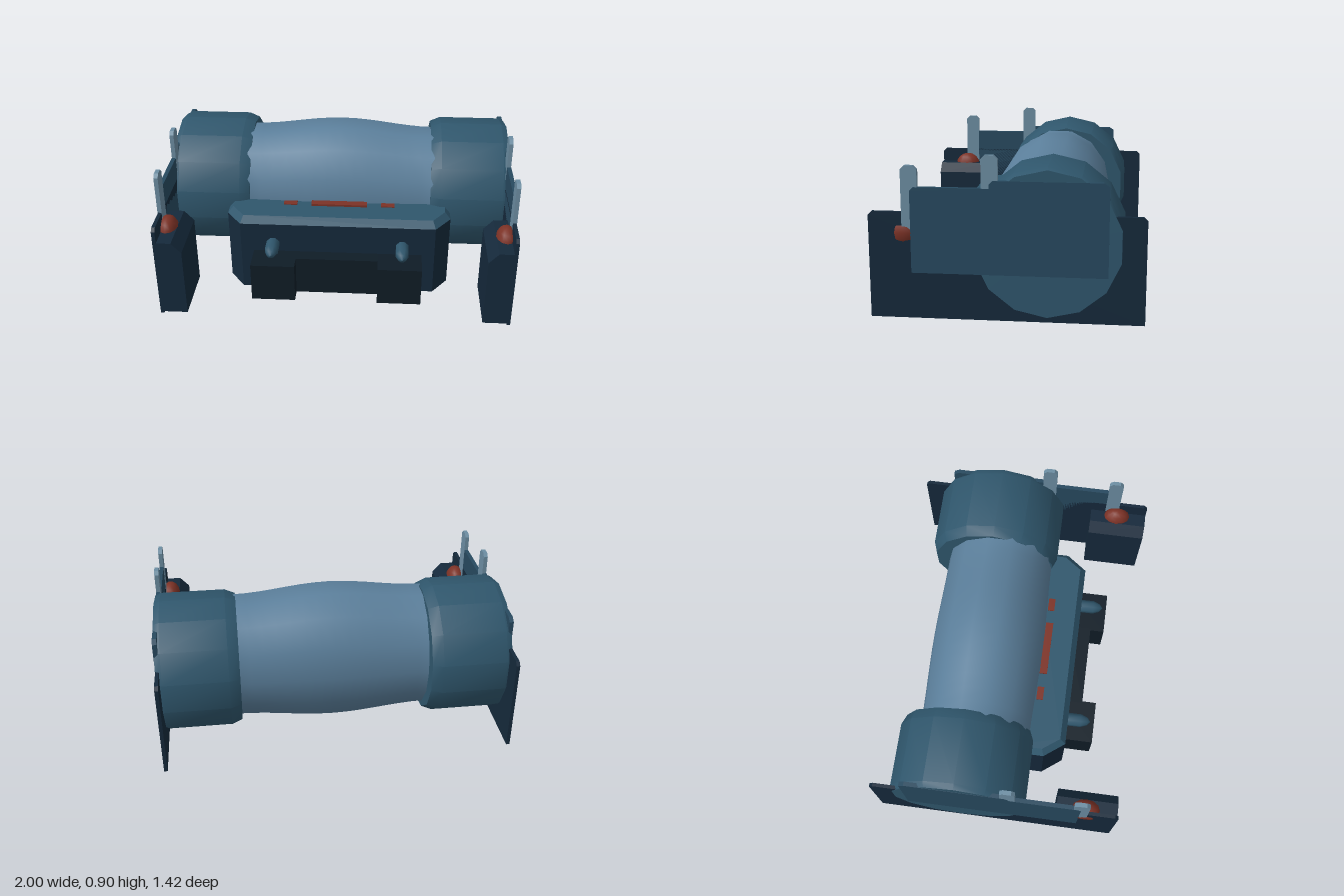
import * as THREE from 'three';
import { toCreasedNormals } from 'three/addons/utils/BufferGeometryUtils.js';
import { ConvexGeometry } from 'three/addons/geometries/ConvexGeometry.js';

const mat = (color) => new THREE.MeshStandardMaterial({ color });
const navy = mat(0x15293b), black = mat(0x0f1c26), teal = mat(0x2f566c);
const panelBlue = mat(0x27495f), steel = mat(0x5b7f9b), pale = mat(0x6c8da2), red = mat(0x7c3226);

export function createModel() {
  const model = new THREE.Group();
  const add = (name, geometry, material) => {
    const mesh = new THREE.Mesh(geometry, material);
    mesh.name = name;
    model.add(mesh);
    return mesh;
  };
  const box = (name, x0, x1, y0, y1, z0, z1, material) => {
    const g = new THREE.BoxGeometry(Math.abs(x1 - x0), y1 - y0, z1 - z0);
    g.translate((x0 + x1) / 2, (y0 + y1) / 2, (z0 + z1) / 2);
    return add(name, g, material);
  };
  const extrude = (points, depth) => new THREE.ExtrudeGeometry(
    new THREE.Shape(points.map(([a, b]) => new THREE.Vector2(a, b))), { depth, bevelEnabled: false });

  // Upright slab with a [z, y] outline, its outer face at |x| = outer
  const slab = (name, side, points, outer, thick, material) => {
    const g = extrude(points, thick);
    g.rotateY(-Math.PI / 2);
    g.translate(side > 0 ? outer : thick - outer, 0, 0);
    return add(name, g, material);
  };
  // Rectangle outline with its two top corners cut
  const cutTop = (z0, z1, y0, y1, c) =>
    [[z0, y0], [z1, y0], [z1, y1 - c], [z1 - c, y1], [z0 + c, y1], [z0, y1 - c]];

  // Bulging central barrel, taller than deep in the middle
  const barrel = new THREE.CylinderGeometry(1, 1, 1.12, 14, 14, true);
  barrel.rotateZ(-Math.PI / 2);
  const p = barrel.attributes.position;
  for (let i = 0; i < p.count; i++) {
    const x = p.getX(i);
    const t = 0.5 + 0.5 * Math.cos(Math.PI * x / 0.56);
    p.setXYZ(i, x, 0.44 + p.getY(i) * (0.37 + 0.05 * t), -0.17 + p.getZ(i) * (0.33 + 0.013 * t));
  }
  barrel.computeVertexNormals();
  add('barrel', toCreasedNormals(barrel, 0.6), steel);

  // End drum, the same turned shape on both sides
  const profile = [[0, 0.54], [0.375, 0.54], [0.4, 0.6], [0.4, 0.965], [0.385, 0.998], [0, 0.998]]
    .map(([r, y]) => new THREE.Vector2(r, y));
  let drum = new THREE.LatheGeometry(profile, 14, Math.PI / 2);
  drum.rotateZ(-Math.PI / 2);
  drum = toCreasedNormals(drum, 0.5);

  for (const side of [1, -1]) {
    const end = add('endDrum', drum, teal);
    end.position.set(0, 0.445, -0.21);
    if (side < 0) end.rotation.y = Math.PI;

    // Thin side walls and the stepped panel on them
    slab('sidePlate', side, cutTop(-0.71, 0.71, 0.035, 0.6, 0.02), 0.996, 0.02, navy);
    slab('sidePanel', side, [
      [-0.52, 0.28], [0.49, 0.28], [0.49, 0.71], [0.47, 0.73], [0.085, 0.73],
      [0.085, 0.75], [0.065, 0.77], [-0.49, 0.77], [-0.52, 0.75],
    ], 1, 0.024, panelBlue);
    slab('frontPost', side, cutTop(0.45, 0.535, 0.5, 0.84, 0.02), 0.999, 0.024, pale);
    slab('rearPost', side, cutTop(0.04, 0.125, 0.5, 0.9, 0.02), 0.999, 0.024, pale);

    // Front corner block with a sloped inner edge
    const block = extrude([[0.84, 0.045], [0.995, 0.045], [0.995, 0.51], [0.895, 0.51], [0.84, 0.45]]
      .map(([x, y]) => [x * side, y]), 0.35);
    block.translate(0, 0, 0.36);
    add('cornerBlock', block, navy);

    // Warning light, cut flat by the side wall
    const light = new THREE.SphereGeometry(1, 12, 8);
    light.scale(0.06, 0.083, 0.085);
    const lp = light.attributes.position;
    for (let i = 0; i < lp.count; i++) lp.setX(i, THREE.MathUtils.clamp(lp.getX(i), -0.06, 0.05));
    if (side < 0) light.rotateY(Math.PI);
    light.translate(side * 0.95, 0.49, 0.527);
    add('warningLight', light, red);

    // Bumper end, headlamp and small marker strip
    box('bumperEnd', side * 0.24, side * 0.495, 0.025, 0.26, 0.3, 0.535, black);
    const lamp = new THREE.LatheGeometry([[0, 0.34], [0.04, 0.34], [0.04, 0.45], [0.025, 0.49], [0, 0.51]]
      .map(([r, y]) => new THREE.Vector2(r, y)), 8, Math.PI / 8);
    lamp.rotateX(Math.PI / 2);
    lamp.translate(side * 0.38, 0.31, 0);
    add('headlamp', toCreasedNormals(lamp, 0.9), teal);
    box('markerStrip', side * 0.25, side * 0.33, 0.47, 0.486, 0.165, 0.205, red);
  }

  // Front console with cut corners and a bevelled lid
  const ring = (y, inset) => [1, -1].flatMap((s) =>
    [[0.66 - inset, 0.05], [0.66 - inset, 0.25 - inset * 0.4], [0.57 - inset * 0.5, 0.37 - inset]]
      .map(([x, z]) => new THREE.Vector3(s * x, y, z)));
  add('console', new ConvexGeometry([...ring(0, 0), ...ring(0.44, 0)]), navy);
  add('consoleLid', new ConvexGeometry([...ring(0.44, 0), ...ring(0.48, 0.033)]), teal);
  box('bumperCentre', -0.25, 0.25, 0.025, 0.26, 0.3, 0.45, black);
  box('centreStrip', -0.165, 0.165, 0.47, 0.492, 0.165, 0.21, red);

  return model;
}
